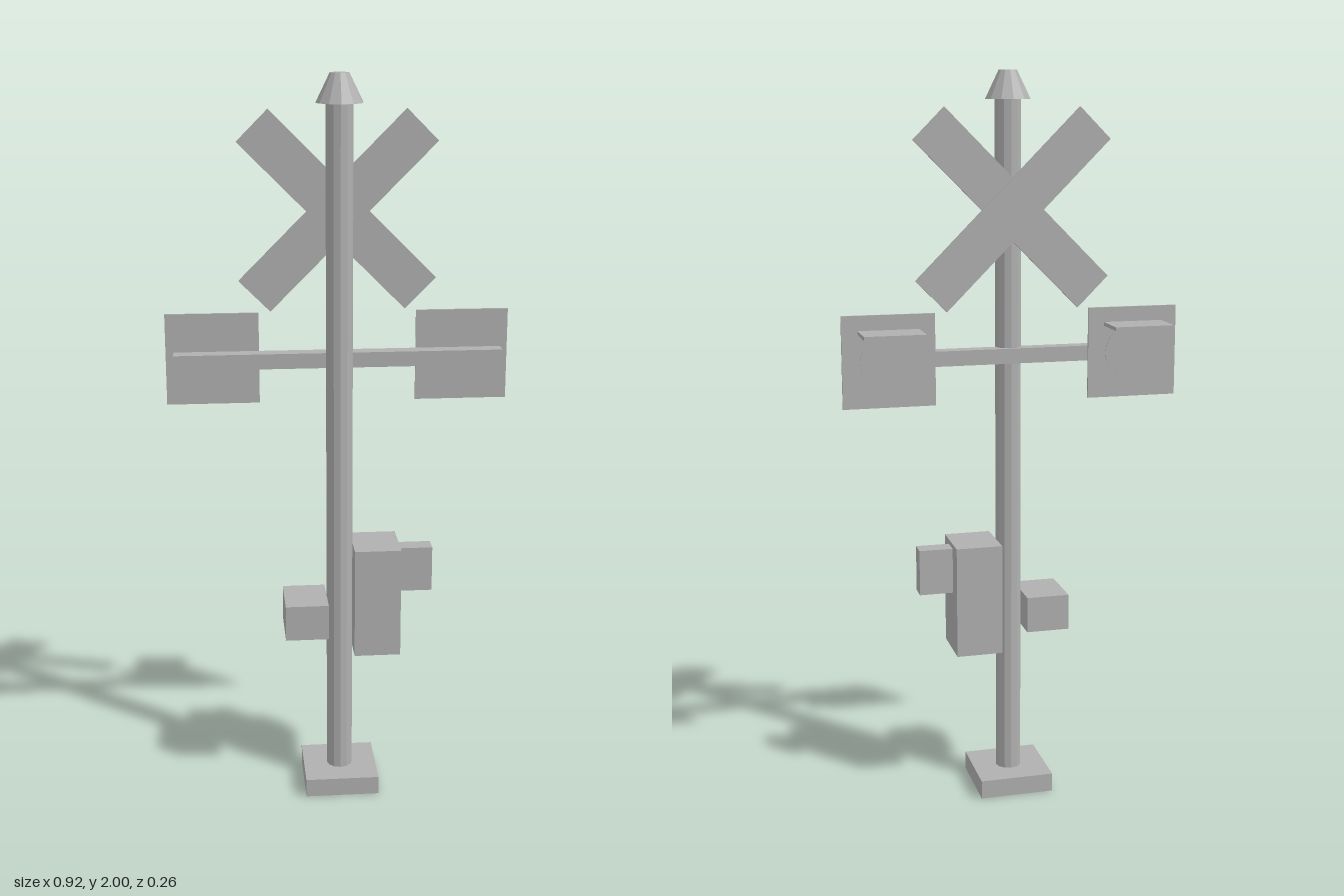
import * as THREE from 'three';

const grey = new THREE.MeshStandardMaterial({ color: 0xb0b0b0 });
grey.name = 'signal grey';
grey.flatShading = true;

export function createModel() {
  const group = new THREE.Group();
  group.name = 'crossingSignal';

  const add = (name, geometry, x, y, z) => {
    const mesh = new THREE.Mesh(geometry, grey);
    mesh.name = name;
    mesh.position.set(x, y, z);
    group.add(mesh);
    return mesh;
  };
  // Box given by its limits on each axis
  const box = (name, [x0, x1], [y0, y1], [z0, z1]) =>
    add(name, new THREE.BoxGeometry(x1 - x0, y1 - y0, z1 - z0),
      (x0 + x1) / 2, (y0 + y1) / 2, (z0 + z1) / 2);

  // Base, pole and tapered cap
  const poleZ = 0.025;
  box('base', [-0.103, 0.103], [0, 0.052], [-0.078, 0.128]);
  add('pole', new THREE.CylinderGeometry(0.036, 0.036, 1.88, 12), 0, 0.99, poleZ);
  add('poleCap', new THREE.CylinderGeometry(0.025, 0.062, 0.075, 12), 0, 1.9625, poleZ);

  // Crossed boards, one behind the other
  for (const [side, z] of [[1, -0.022], [-1, -0.032]]) {
    const board = add('crossBoard', new THREE.BoxGeometry(0.63, 0.118, 0.009), 0, 1.642, z);
    board.rotation.z = side * Math.PI / 4;
  }

  // Lamp arm with a backing plate, lamp and visor at each end
  box('lampArm', [-0.442, 0.442], [1.23, 1.271], [-0.018, 0.024]);
  for (const x of [-0.338, 0.336]) {
    box('lampPlate', [x - 0.125, x + 0.125], [1.127, 1.375], [-0.024, -0.018]);
    const lamp = add('lamp', new THREE.CylinderGeometry(0.076, 0.076, 0.003, 32), x, 1.25, -0.0245);
    lamp.rotation.x = Math.PI / 2;
    box('lampVisor', [x - 0.082, x + 0.082], [1.325, 1.335], [-0.13, -0.026]);
  }

  // Equipment boxes on the pole
  box('controlCabinet', [0.036, 0.164], [0.42, 0.73], [-0.052, 0.102]);
  box('meterBox', [0.164, 0.257], [0.59, 0.717], [0, 0.05]);
  box('junctionBox', [-0.155, -0.036], [0.474, 0.574], [-0.052, 0.102]);

  return group;
}
